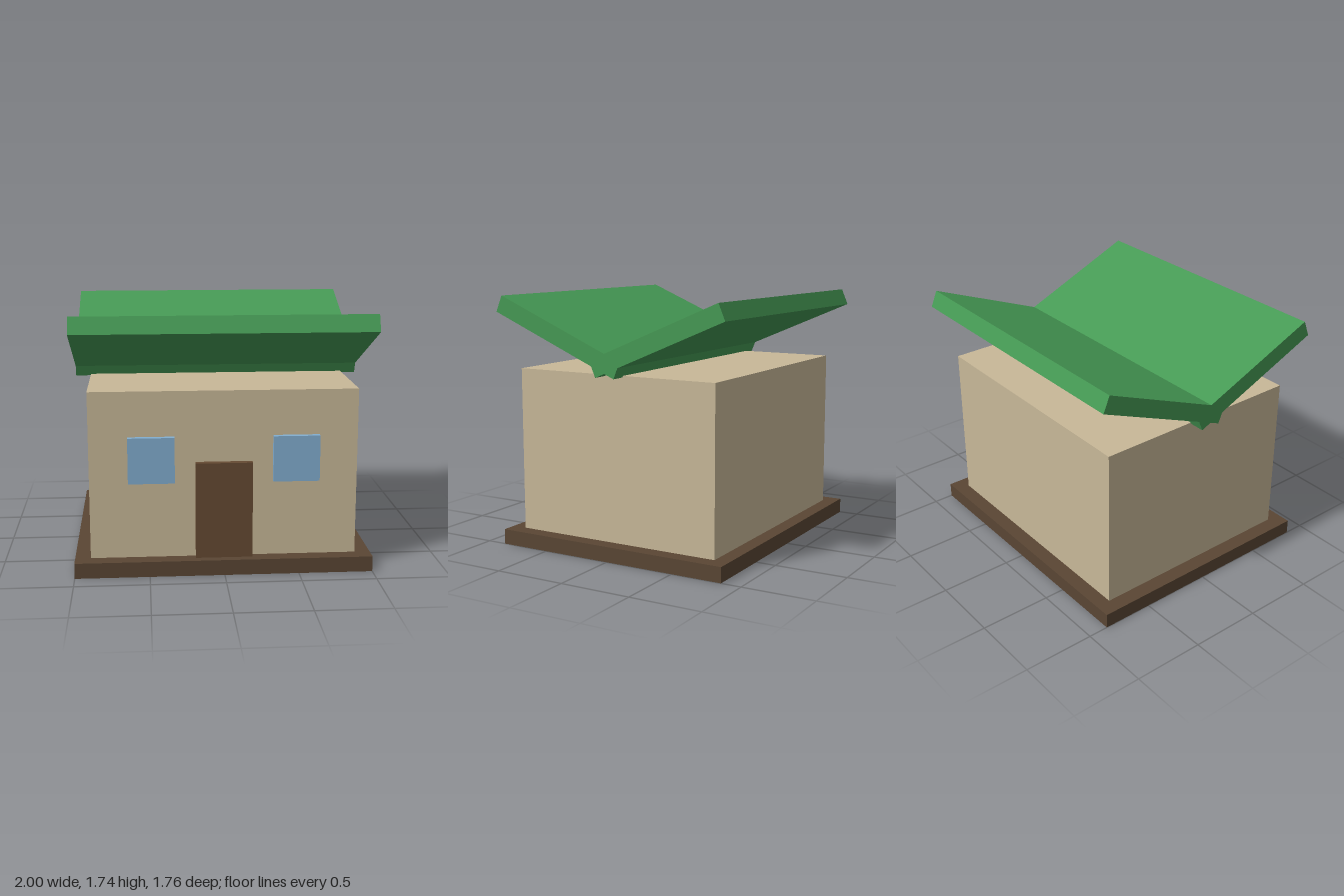
import * as THREE from 'three';

export function createModel() {
  const house = new THREE.Group();
  house.name = 'house';

  const material = (color) => new THREE.MeshStandardMaterial({ color });
  const wood = material(0x5a4634);
  const plaster = material(0xc8b898);
  const doorWood = material(0x654a32);
  const glass = material(0x82aed0);
  const roofGreen = material(0x469a55);

  // Adds a box given its size and centre
  const addBox = (name, mat, [w, h, d], [x, y, z]) => {
    const mesh = new THREE.Mesh(new THREE.BoxGeometry(w, h, d), mat);
    mesh.name = name;
    mesh.position.set(x, y, z);
    house.add(mesh);
    return mesh;
  };

  // Floor slab and walls (the walls sink a little into the slab)
  addBox('base', wood, [2, 0.105, 1.72], [0, 0.0525, 0]);
  addBox('walls', plaster, [1.79, 1.19, 1.514], [0, 0.645, 0]);

  // Door and windows stand slightly proud of the front wall
  addBox('door', doorWood, [0.38, 0.71, 0.08], [0, 0.405, 0.763]);
  for (const side of [-1, 1]) {
    const name = side > 0 ? 'leftWindow' : 'rightWindow';
    addBox(name, glass, [0.31, 0.31, 0.08], [side * 0.483, 0.78, 0.757]);
  }

  // Butterfly roof: two slabs crossing in a valley over the middle
  for (const side of [-1, 1]) {
    const name = side > 0 ? 'frontRoofSlab' : 'backRoofSlab';
    const slab = addBox(name, roofGreen, [2, 0.12, 1.03], [0, 1.485, side * 0.38]);
    slab.rotation.x = -side * 0.4;
  }

  return house;
}
